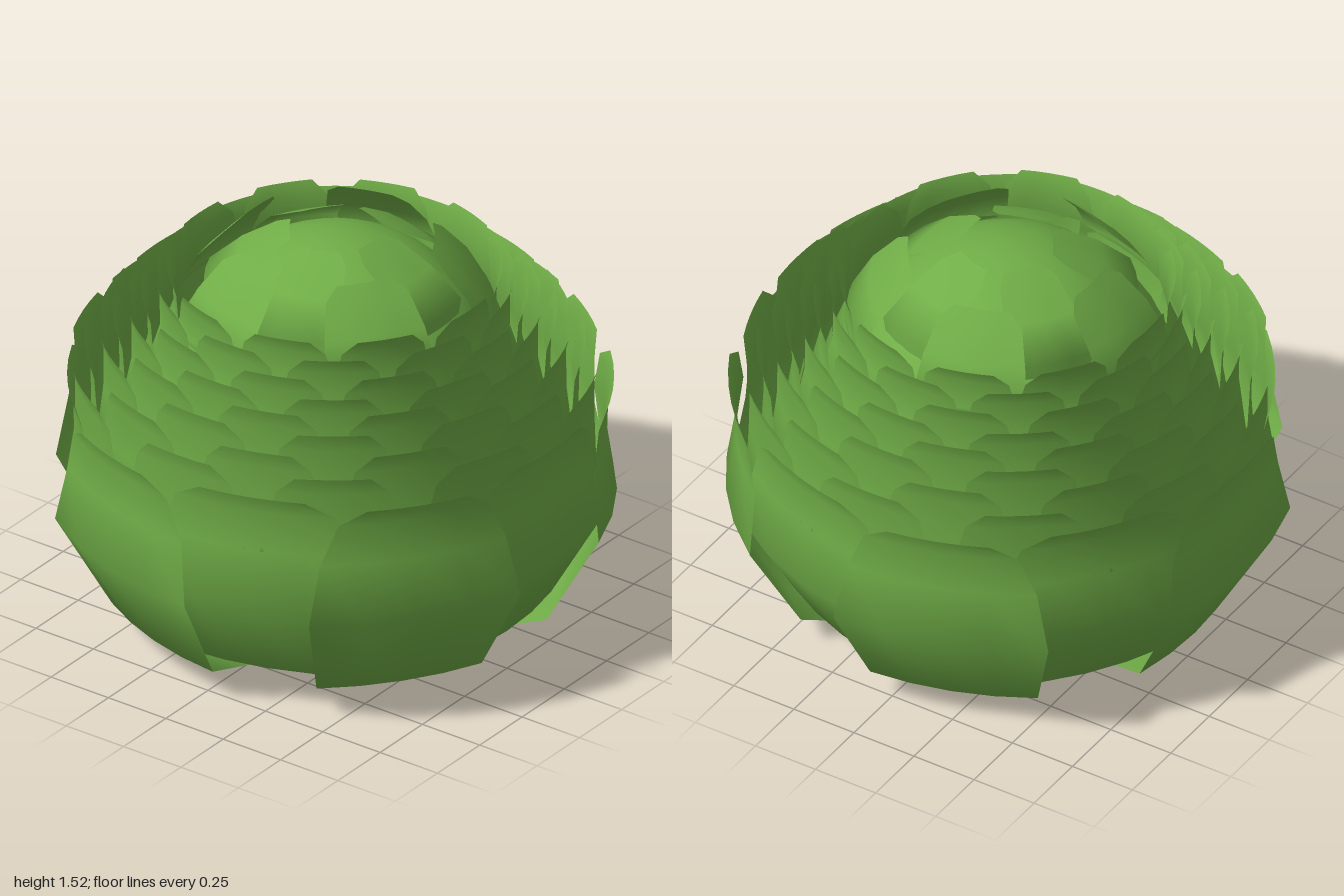
import * as THREE from 'three';

// Rings from outside to inside:
// [petals, tip radius, tip y, widest radius, widest y, half width]
const RINGS = [
  [5, 0.98, 0.93, 0.99, 0.48, 0.39],
  [5, 0.94, 0.94, 0.95, 0.49, 0.41],
  [10, 0.93, 1.03, 0.91, 0.54, 0.28],
  [10, 0.88, 1.09, 0.87, 0.60, 0.27],
  [10, 0.83, 1.15, 0.83, 0.66, 0.26],
  [10, 0.78, 1.20, 0.79, 0.72, 0.25],
  [10, 0.73, 1.24, 0.75, 0.78, 0.24],
  [10, 0.68, 1.29, 0.71, 0.85, 0.23],
  [10, 0.63, 1.34, 0.67, 0.92, 0.22],
  [10, 0.59, 1.39, 0.64, 1.00, 0.21],
  [5, 0.35, 1.49, 0.57, 1.20, 0.21],
  [5, 0.16, 1.52, 0.46, 1.32, 0.15],
];
const COLUMNS = 4;
const lerp = THREE.MathUtils.lerp;

// One thin petal facing +x: upright ones curl outward at the tip, the last ones lean over the core
function petalGeometry([, tipR, tipY, midR, midY, half], ring) {
  const y0 = 0.04 * ring;
  const leaning = ring > 9;
  const upR = leaning ? lerp(midR, tipR, 0.45) + 0.015 : tipR - 0.025;
  const upY = lerp(midY, tipY, 0.5);
  // radius, height, width fraction
  const rows = [
    [0.05, y0 + 0.002, 0.2],
    [0.43 * midR, y0 + 0.008, 0.5],
    [0.79 * midR, y0 + (midY - y0) * 0.25, 0.78],
    [midR, midY, 1],
    [upR, upY, 0.88],
    [lerp(upR, tipR, leaning ? 0.7 : 0.2), lerp(upY, tipY, 0.72), 0.72],
    [tipR, tipY, 0.48],
  ];
  const positions = [];
  const index = [];
  const stride = COLUMNS + 1;

  rows.forEach(([r, y, fraction], j) => {
    for (let i = 0; i < stride; i++) {
      const w = half * fraction * ((2 * i) / COLUMNS - 1);
      const sag = (0.4 * w * w) / midR;
      positions.push(r - sag, y, w);
      if (j > 0 && i > 0) {
        const d = j * stride + i;
        const b = d - stride;
        index.push(b - 1, d, b, b - 1, d - 1, d);
      }
    }
  });

  const geometry = new THREE.BufferGeometry();
  geometry.setAttribute('position', new THREE.Float32BufferAttribute(positions, 3));
  geometry.setIndex(index);
  geometry.computeVertexNormals();
  return geometry;
}

export function createModel() {
  const model = new THREE.Group();
  model.name = 'layeredBud';
  const green = new THREE.MeshStandardMaterial({ color: 0x70ad47 });
  green.side = THREE.DoubleSide;

  // Round heart of the bud
  const core = new THREE.Mesh(new THREE.SphereGeometry(0.74, 32, 24), green);
  core.name = 'core';
  core.scale.set(0.86, 1, 0.86);
  core.position.y = 0.745;
  model.add(core);

  // Petal rings, each turned half a step from the last
  RINGS.forEach((ring, k) => {
    const count = ring[0];
    const group = new THREE.Group();
    group.name = `petalRing${k + 1}`;
    const geometry = petalGeometry(ring, k);
    const start = k % 2 === 0 ? Math.PI / count : 0;
    for (let i = 0; i < count; i++) {
      const petal = new THREE.Mesh(geometry, green);
      petal.name = 'petal';
      petal.rotation.y = start + (i * 2 * Math.PI) / count;
      group.add(petal);
    }
    model.add(group);
  });

  return model;
}
